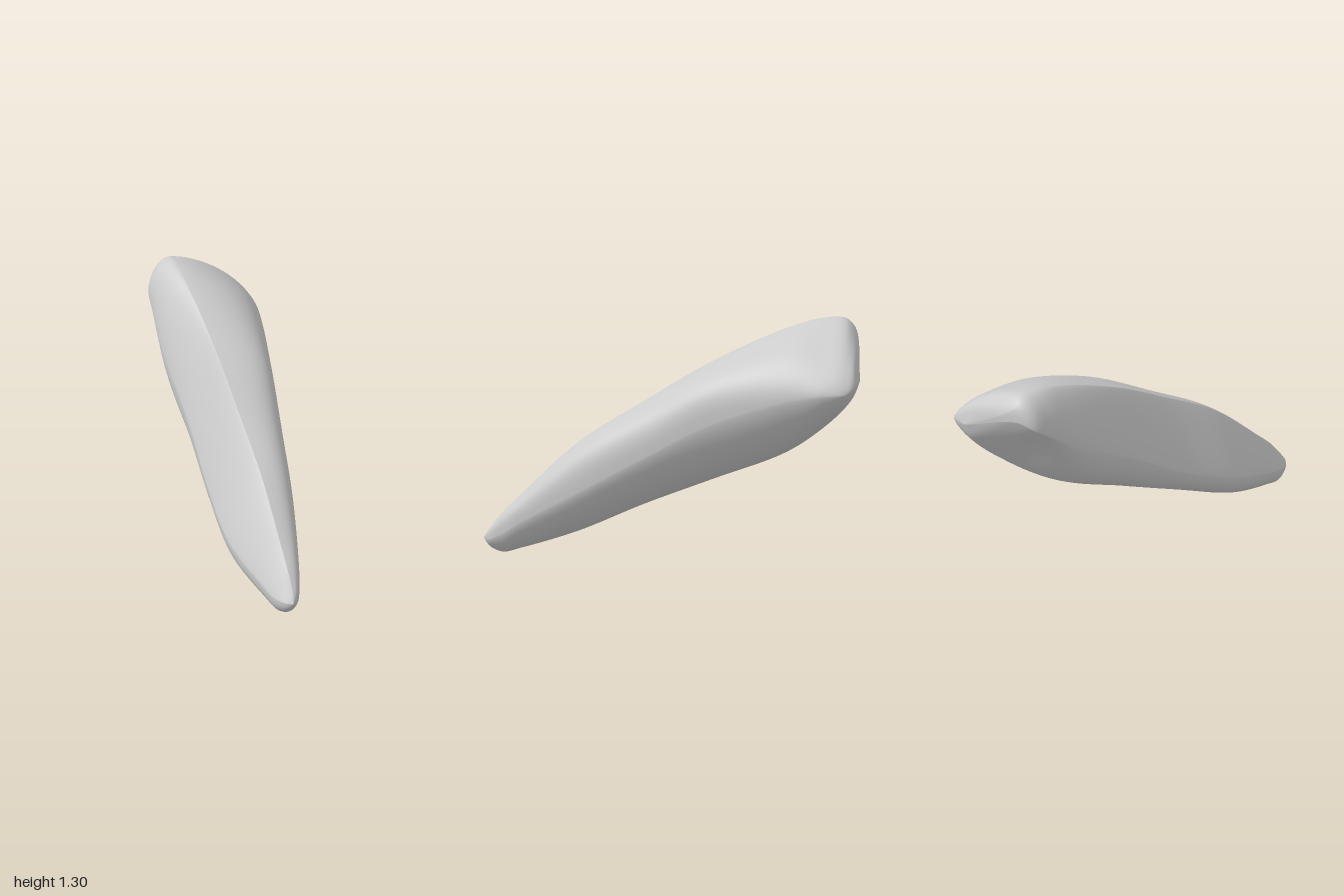
import * as THREE from 'three';
import { mergeVertices } from 'three/addons/utils/BufferGeometryUtils.js';

// Cross-sections from tip to broad end: [z, top y, right x,y, bottom x,y, left x,y]
const SECTIONS = [
  [0.97, 0.13, -0.18, 0.08, -0.22, 0.035, -0.255, 0.08],
  [0.9, 0.22, -0.14, 0.12, -0.22, 0.003, -0.29, 0.09],
  [0.8, 0.32, -0.1, 0.19, -0.22, 0.025, -0.315, 0.13],
  [0.5, 0.605, 0, 0.37, -0.21, 0.12, -0.37, 0.26],
  [0.15, 0.835, 0.095, 0.58, -0.15, 0.28, -0.34, 0.43],
  [-0.2, 1.05, 0.19, 0.78, -0.06, 0.43, -0.298, 0.66],
  [-0.6, 1.24, 0.31, 0.93, 0.06, 0.605, -0.27, 0.9],
  [-0.8, 1.3, 0.36, 0.97, 0.17, 0.76, -0.24, 1.05],
  [-0.92, 1.3, 0.36, 0.98, 0.21, 0.88, -0.21, 1.14],
  [-0.97, 1.25, 0.325, 1.01, 0.21, 0.95, -0.13, 1.18],
];
const TIP = new THREE.Vector3(-0.22, 0.08, 1);
const END = new THREE.Vector3(0.22, 1.03, -1);
const AROUND = 80, ALONG = 110;
const { lerp, smoothstep } = THREE.MathUtils;

// Point on a section outline, clockwise from the top in four curved quarters:
// full at upper right and lower left, flat at upper left, hollow below the broad end
function outlinePoint([z, ty, rx, ry, bx, by, lx, ly], turn) {
  const q = Math.floor(turn * 4), a = (turn * 4 - q) * Math.PI / 2;
  const tx = -0.15 - 0.06 * z, back = smoothstep(-z, 0.3, 0.85);
  const e = [
    lerp(0.65, 1.35, back),
    1.3,
    lerp(0.85, 1.95, smoothstep(-z, 0.5, 0.95)),
    lerp(1.75, 1.1, back),
  ][q];
  const s = Math.sin(a) ** e, c = Math.cos(a) ** e;
  const [x, y] = [
    [tx + (rx - tx) * s, ry + (ty - ry) * c],
    [bx + (rx - bx) * c, ry + (by - ry) * s],
    [bx + (lx - bx) * s, ly + (by - ly) * c],
    [tx + (lx - tx) * c, ly + (ty - ly) * s],
  ][q];
  return new THREE.Vector3(x, y, z);
}

// Smooth skin: one lengthwise curve for each step around the outline
function loftGeometry() {
  const positions = [], index = [];
  const lines = Array.from({ length: AROUND }, (_, j) => new THREE.CatmullRomCurve3(
    [TIP, ...SECTIONS.map((s) => outlinePoint(s, j / AROUND)), END]));
  for (let i = 0; i <= ALONG; i++) {
    for (const line of lines) positions.push(...line.getPoint(i / ALONG).toArray());
  }
  for (let i = 0; i < ALONG; i++) {
    for (let j = 0; j < AROUND; j++) {
      const a = i * AROUND + j, b = i * AROUND + (j + 1) % AROUND;
      const c = a + AROUND, d = b + AROUND;
      if (i > 0) index.push(a, b, c);
      if (i < ALONG - 1) index.push(b, d, c);
    }
  }
  const geometry = new THREE.BufferGeometry();
  geometry.setAttribute('position', new THREE.Float32BufferAttribute(positions, 3));
  geometry.setIndex(index);
  const welded = mergeVertices(geometry, 1e-5);
  welded.computeVertexNormals();
  return welded;
}

export function createModel() {
  const group = new THREE.Group();
  group.name = 'taperedTooth';
  const paleGrey = new THREE.MeshStandardMaterial({ color: 0xcccccc });
  paleGrey.name = 'pale grey';
  const body = new THREE.Mesh(loftGeometry(), paleGrey);
  body.name = 'toothBody';
  group.add(body);
  return group;
}
